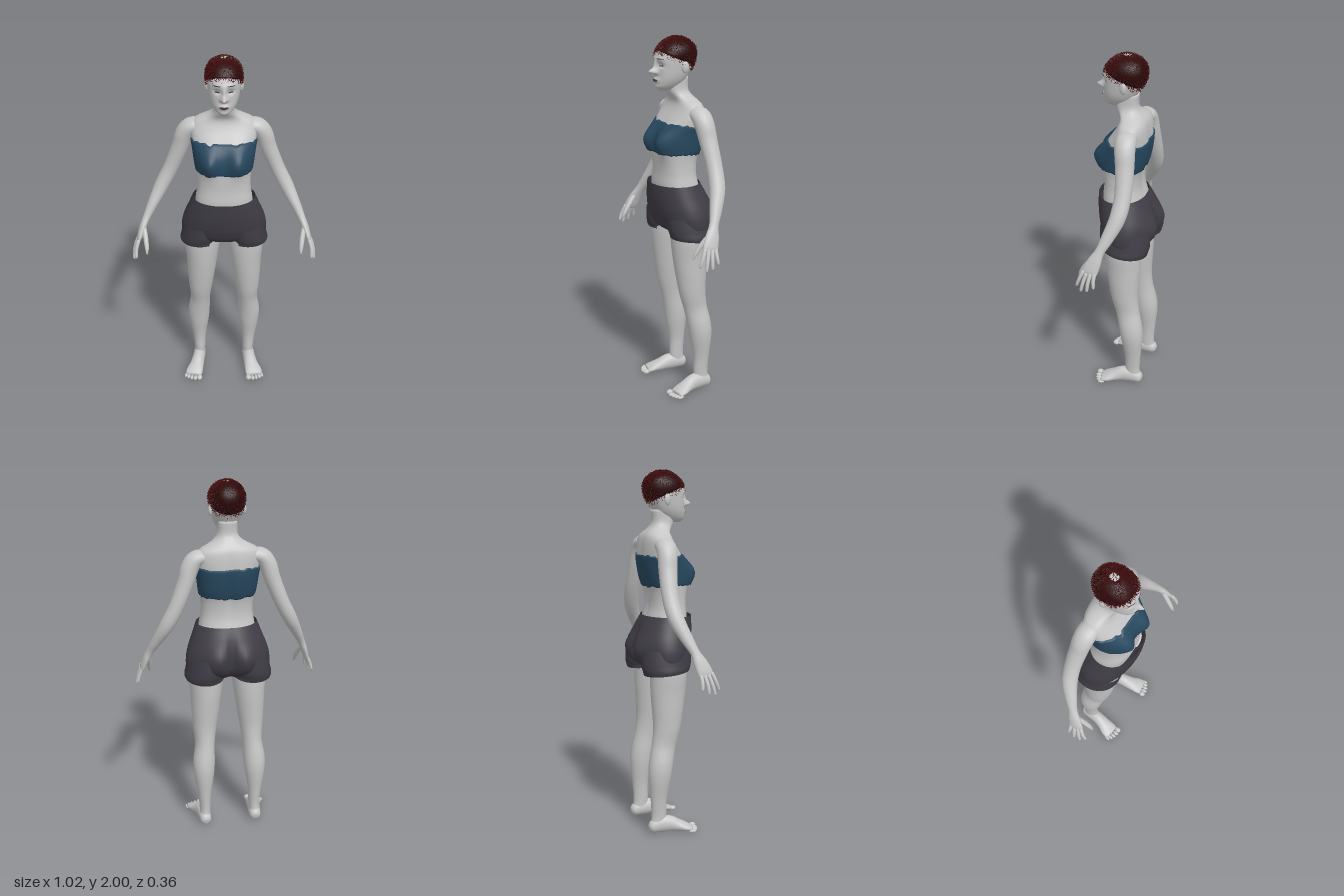
import * as THREE from 'three';
import { mergeGeometries } from 'three/addons/utils/BufferGeometryUtils.js';

const paint = (name, color, side = THREE.FrontSide) => {
  const m = new THREE.MeshStandardMaterial({ color, side });
  m.name = name;
  return m;
};

// Smooth interpolation of table rows [key, ...values], keys ascending
function at(table, key) {
  let i = 0;
  while (i < table.length - 2 && key > table[i + 1][0]) i++;
  const p = table[i], q = table[i + 1];
  const o = table[Math.max(i - 1, 0)], r = table[Math.min(i + 2, table.length - 1)];
  const h = q[0] - p[0], f = (key - p[0]) / h, g = 1 - f;
  return p.slice(1).map((v, k) => {
    const c = k + 1;
    const m0 = (q[c] - o[c]) / (q[0] - o[0]) * h, m1 = (r[c] - p[c]) / (r[0] - p[0]) * h;
    return v * g * g * (1 + 2 * f) + q[c] * f * f * (3 - 2 * f) + m0 * f * g * g - m1 * f * f * g;
  });
}

// Joins closed rings of points into a surface that faces outwards
function skin(rings, capped = true) {
  const n = rings[0].length, pts = rings.flat(), idx = [];
  for (let i = 0; i < rings.length - 1; i++) for (let j = 0; j < n; j++) {
    const a = i * n + j, b = i * n + (j + 1) % n;
    idx.push(a, b, a + n, b, b + n, a + n);
  }
  if (capped) [0, rings.length - 1].forEach((i, end) => {
    const mid = pts.length;
    pts.push(rings[i].reduce((s, p) => s.add(p), new THREE.Vector3()).divideScalar(n));
    for (let j = 0; j < n; j++) {
      const a = i * n + j, b = i * n + (j + 1) % n;
      idx.push(...(end ? [a, b, mid] : [b, a, mid]));
    }
  });
  const c = pts.reduce((s, p) => s.add(p), new THREE.Vector3()).divideScalar(pts.length);
  const rel = pts.map(p => p.clone().sub(c));
  let volume = 0;
  for (let i = 0; i < idx.length; i += 3)
    volume += rel[idx[i]].dot(rel[idx[i + 1]].clone().cross(rel[idx[i + 2]]));
  if (volume < 0) idx.reverse();
  const g = new THREE.BufferGeometry().setFromPoints(pts);
  g.setIndex(idx);
  g.computeVertexNormals();
  return g;
}

// Elliptical tube through [x, y, z, rx, ry] points
function limb(points, sides = 20, steps = 5, ref = new THREE.Vector3(0, 0, 1)) {
  const table = points.map((p, i) => [i, ...p]), rings = [], last = points.length - 1;
  const pos = k => new THREE.Vector3(...at(table, Math.min(Math.max(k, 0), last)).slice(0, 3));
  for (let i = 0; i <= last * steps; i++) {
    const k = i / steps, [, , , rx, ry] = at(table, k);
    const t = pos(k + 0.05).sub(pos(k - 0.05)).normalize();
    const b = t.clone().cross(ref).normalize(), n = b.clone().cross(t);
    rings.push(Array.from({ length: sides }, (_, j) => {
      const a = j / sides * Math.PI * 2;
      return pos(k).addScaledVector(b, rx * Math.cos(a)).addScaledVector(n, ry * Math.sin(a));
    }));
  }
  return skin(rings);
}

// Point on a body of horizontal sections [y, halfWidth, frontZ, backZ]
const power = (v, n) => Math.sign(v) * Math.abs(v) ** (2 / n);
function surf(table, y, a, n, bump, off = 0) {
  const [hw, zf, zb] = at(table, y), s = Math.sin(a);
  const x = (hw + off) * power(Math.cos(a), n);
  const z = (zf + zb) / 2 + ((zf - zb) / 2 + off) * power(s, n);
  return new THREE.Vector3(x, y, z + bump(x, y, s));
}
const ringOf = (sides, fn) => Array.from({ length: sides }, (_, j) => fn(j / sides * Math.PI * 2, j));
const body = (table, y0, y1, rows, sides, n, bump, capped) => skin(Array.from({ length: rows + 1 }, (_, i) =>
  ringOf(sides, a => surf(table, y0 + (y1 - y0) * i / rows, a, n, bump))), capped);
const hill = (x, y, cx, cy, sx, sy) => Math.exp(-(((x - cx) / sx) ** 2) - ((y - cy) / sy) ** 2);
const pair = (x, y, cx, cy, sx, sy) => hill(x, y, cx, cy, sx, sy) + hill(x, y, -cx, cy, sx, sy);

const TORSO = [[1.1, .16, .12, -.12], [1.2, .155, .135, -.09], [1.27, .145, .13, -.075], [1.35, .145, .128, -.08],
  [1.42, .155, .12, -.1], [1.5, .165, .112, -.113], [1.56, .175, .085, -.113], [1.61, .175, .055, -.108],
  [1.645, .155, .04, -.1], [1.67, .105, .04, -.085], [1.69, .072, .055, -.066], [1.72, .056, .07, -.05], [1.79, .055, .07, -.05]];
const bust = amp => (x, y, s) => s > 0 ? amp * s * pair(x, y, .085, 1.445, .06, .075)
  : -.014 * s * hill(x, y, 0, 1.42, .02, .17);

const SHORTS = [[.92, .18, .04, -.09], [.96, .228, .11, -.145], [1.02, .235, .142, -.162], [1.08, .222, .157, -.16],
  [1.15, .195, .165, -.135], [1.22, .168, .165, -.098]];
const seat = (x, y, s) => s < 0 ? -s * (.035 * hill(x, y, 0, 1.02, .025, .12) - .025 * pair(x, y, .085, 1.03, .06, .07)) : 0;

const HEAD = [[1.72, .026, .115, .02], [1.74, .047, .131, 0], [1.77, .066, .134, -.03], [1.8, .077, .134, -.05],
  [1.84, .085, .134, -.072], [1.88, .09, .135, -.088], [1.92, .091, .125, -.09], [1.955, .077, .1, -.075],
  [1.98, .05, .068, -.045], [1.994, .02, .035, -.012]];
const face = (x, y, s) => s <= 0 ? 0 : s * (.038 * hill(x, y, 0, 1.822, .014, .015) + .016 * hill(x, y, 0, 1.85, .011, .03)
  + .01 * pair(x, y, .014, 1.815, .01, .009) + .013 * hill(x, y, 0, 1.775, .026, .014)
  + .006 * hill(x, y, 0, 1.738, .025, .014) - .013 * pair(x, y, .035, 1.855, .019, .013)
  + .005 * pair(x, y, .035, 1.888, .03, .011));

// Thin oval patch lying on the face
function facePatch(cx, cy, rx, ry) {
  const g = new THREE.RingGeometry(.001, 1, 20, 4), p = g.attributes.position;
  for (let i = 0; i < p.count; i++) {
    const x = cx + p.getX(i) * rx, y = cy + p.getY(i) * ry;
    const a = Math.acos(power(x / at(HEAD, y)[0], 4 / 2.2));
    p.setXYZ(i, x, y, surf(HEAD, y, a, 2.2, face).z + .0025);
  }
  g.computeVertexNormals();
  return g;
}

let seed = 7;
const rand = () => (seed = (seed * 16807) % 2147483647) / 2147483647;

export function createModel() {
  const model = new THREE.Group();
  const skinMat = paint('skin', 0xc6c6c6), clothMat = paint('shorts cloth', 0x3f3c45, THREE.DoubleSide);
  const topMat = paint('top cloth', 0x27485f, THREE.DoubleSide), capMat = paint('dark hair', 0x260708);
  const tuftMat = paint('hair tips', 0x4a0f10, THREE.DoubleSide), darkMat = paint('lash brown', 0x3a3232);
  const lipMat = paint('lips', 0x4a3234);
  const add = (name, geometry, material) => {
    const m = new THREE.Mesh(geometry, material);
    m.name = name;
    model.add(m);
    return m;
  };
  const ball = (name, x, y, z, sx, sy, sz) => {
    const m = add(name, new THREE.SphereGeometry(1, 14, 10), skinMat);
    m.position.set(x, y, z);
    m.scale.set(sx, sy, sz);
    return m;
  };

  // Torso, neck and head
  add('torso', body(TORSO, 1.1, 1.79, 50, 56, 2.4, bust(.045)), skinMat);
  add('head', body(HEAD, 1.72, 1.994, 76, 120, 2.2, face), skinMat);
  add('lips', facePatch(0, 1.775, .023, .007), lipMat);

  // Strapless top with a ragged edge
  const ragged = ringOf(72, () => [rand() * .014, rand() * .01]);
  const rows = 16;
  add('top', skin(Array.from({ length: rows + 3 }, (_, i) => ringOf(72, (a, j) => {
    const f = Math.min(Math.max((i - 1) / rows, 0), 1), back = Math.max(0, -Math.sin(a));
    const low = 1.38 - .01 * back + ragged[j][1], high = 1.538 + ragged[j >> 1][0];
    return surf(TORSO, low + (high - low) * f, a, 2.4, bust(.065), i === 0 || i === rows + 2 ? -.004 : .007);
  })), false), topMat);

  // Shorts
  add('shorts', body(SHORTS, .92, 1.215, 30, 64, 2.1, seat, false), clothMat);

  // Cropped hair: a cap with short tips all over
  const hairline = a => 1.875 + .05 * Math.sin(a);
  const none = () => 0;
  add('hairCap', skin(Array.from({ length: 19 }, (_, i) => ringOf(64, a => {
    const low = hairline(a);
    return surf(HEAD, low + (1.994 - low) * Math.sin(i / 18 * Math.PI / 2), a, 2.2, none, i ? .004 : -.003);
  }))), capMat);
  const tips = [], up = new THREE.Vector3(0, 1, 0), centre = new THREE.Vector3(0, 1.895, .02);
  for (let i = 0; i < 3600; i++) {
    const a = rand() * Math.PI * 2, low = hairline(a) - .022 * rand() ** 2;
    const p = surf(HEAD, low + (1.994 - low) * Math.sin(rand() * Math.PI / 2), a, 2.2, none, .003);
    const dir = p.clone().sub(centre).normalize();
    dir.add(new THREE.Vector3(rand() - .5, rand() - .5, rand() - .5).multiplyScalar(.9)).normalize();
    const g = new THREE.ConeGeometry(.0022, .011, 3, 1, true).translate(0, .004, 0);
    tips.push(g.applyQuaternion(new THREE.Quaternion().setFromUnitVectors(up, dir)).translate(p.x, p.y, p.z));
  }
  add('hairTips', mergeGeometries(tips), tuftMat);

  for (const s of [1, -1]) {
    const side = s > 0 ? 'left' : 'right';
    const flip = pts => pts.map(([x, ...rest]) => [x * s, ...rest]);

    // Face details
    add(side + 'Eye', facePatch(.035 * s, 1.852, .014, .0035), darkMat);
    add(side + 'Brow', facePatch(.037 * s, 1.889, .021, .0025), darkMat);
    ball(side + 'Ear', .09 * s, 1.845, .008, .012, .032, .02).rotation.y = -.3 * s;

    // Arm and palm
    add(side + 'Arm', limb(flip([[.11, 1.605, -.032, .035, .05], [.175, 1.597, -.036, .045, .056], [.212, 1.55, -.042, .049, .054],
      [.238, 1.47, -.05, .045, .05], [.29, 1.34, -.057, .041, .045], [.343, 1.235, -.045, .039, .043],
      [.393, 1.14, -.008, .029, .034], [.428, 1.07, .024, .021, .026], [.45, 1.02, .045, .019, .037],
      [.467, .97, .064, .016, .043], [.474, .945, .072, .01, .038]]), 24, 5), skinMat);

    // Fingers and thumb
    [[.472, .965, .1, .485, .87, .135], [.475, .955, .082, .5, .85, .107], [.474, .955, .06, .504, .857, .073],
      [.468, .965, .038, .5, .878, .038]].forEach(([x, y, z, X, Y, Z], i) => add(side + 'Finger' + (i + 1), limb(flip([
      [x, y, z, .011, .011], [(x + X) / 2 + .006, (y + Y) / 2, (z + Z) / 2 + .003, .01, .01],
      [X, Y + .008, Z, .008, .008], [X, Y, Z, .003, .003]]), 10, 4), skinMat));
    add(side + 'Thumb', limb(flip([[.443, 1.03, .055, .012, .014], [.432, .975, .1, .014, .014],
      [.426, .93, .13, .011, .011], [.425, .9, .145, .004, .004]]), 10, 4), skinMat);

    // Leg and shorts leg
    add(side + 'Leg', limb(flip([[.115, 1, 0, .1, .105], [.122, .9, 0, .098, .103], [.125, .8, -.004, .087, .098],
      [.13, .7, -.008, .078, .088], [.135, .6, -.015, .067, .077], [.138, .5, -.033, .056, .068], [.147, .4, -.053, .062, .068],
      [.149, .32, -.062, .058, .064], [.148, .2, -.067, .039, .047], [.146, .1, -.065, .031, .043],
      [.148, .035, -.072, .032, .045]]), 28, 5), skinMat);
    const hem = [[.89, .105, .11, -.015, .12], [.915, .135, .109, -.016, .128], [.96, .13, .108, -.016, .14], [1.05, .12, .1, -.01, .14]];
    add(side + 'ShortsLeg', skin(Array.from({ length: 15 }, (_, i) => ringOf(40, a => {
      const y = .912 + .13 * i / 14, [cx, rx, cz, rz] = at(hem, y);
      const drop = .012 * Math.sin(a) * (1 - i / 14);
      return new THREE.Vector3(s * (cx + rx * Math.cos(a)), y + drop, cz + rz * Math.sin(a));
    })), false), clothMat);

    // Foot and toes
    add(side + 'Foot', limb(flip([[.146, .03, -.124, .014, .016], [.147, .034, -.108, .03, .033], [.149, .046, -.065, .036, .046],
      [.155, .046, -.01, .037, .046], [.165, .034, .04, .042, .034], [.178, .023, .085, .05, .022],
      [.183, .015, .115, .046, .013]]), 24, 5, up), skinMat);
    [[.147, .137, .016], [.172, .136, .011], [.193, .13, .01], [.212, .12, .01], [.228, .107, .009]].forEach(([x, z, r], i) =>
      ball(side + 'Toe' + (i + 1), x * s, r * .9, z, r, r * .9, .02).rotation.y = .15 * s);
  }
  return model;
}
